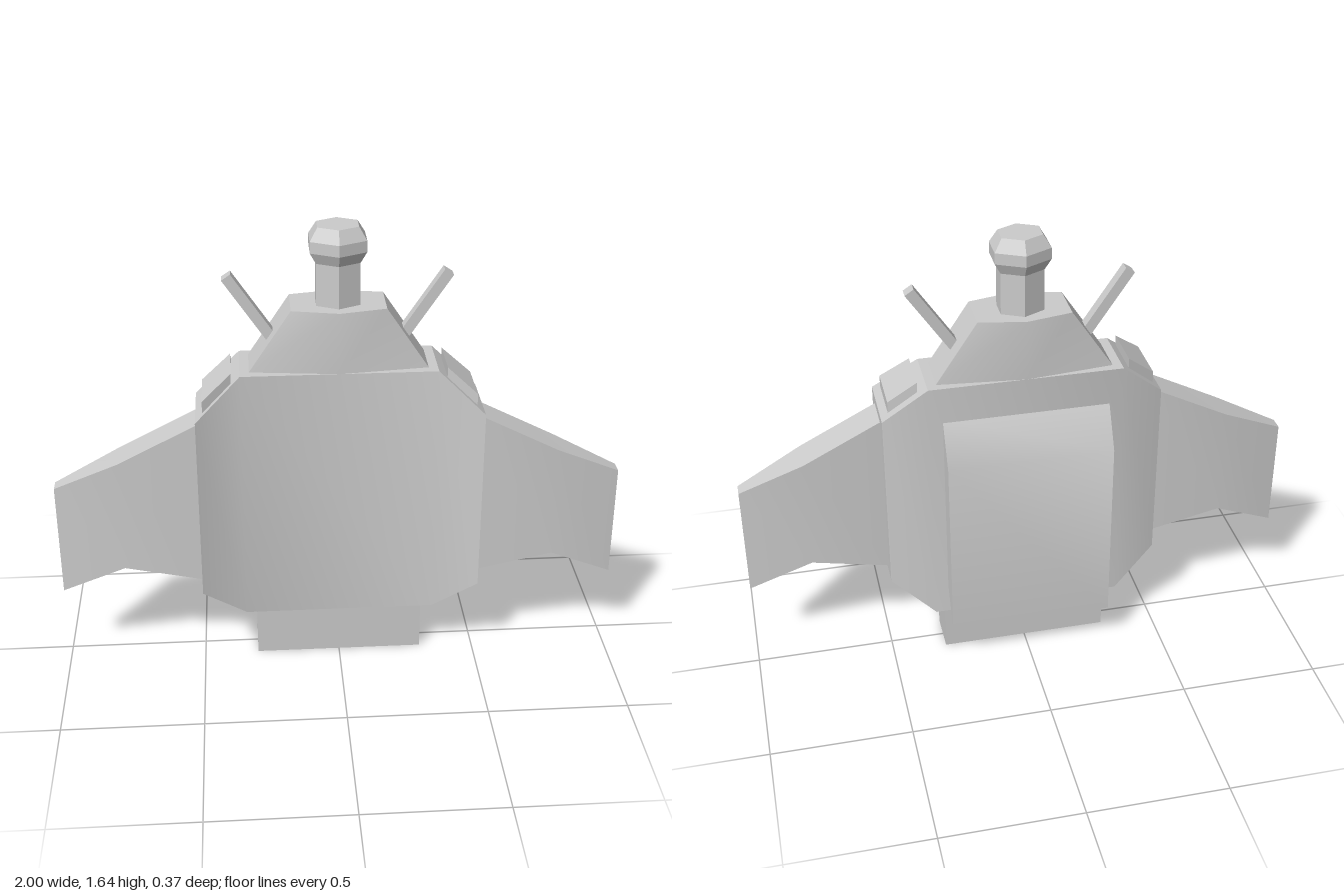
import * as THREE from 'three';
import { toCreasedNormals } from 'three/addons/utils/BufferGeometryUtils.js';

const grey = new THREE.MeshStandardMaterial({ color: 0xcccccc });
const flatGrey = new THREE.MeshStandardMaterial({ color: 0xcccccc, flatShading: true });

// Closed solid through a list of equal-length rings of [x, y, z] points
function loft(rings) {
  const n = rings[0].length, last = (rings.length - 1) * n, index = [];
  for (let i = 0; i < rings.length - 1; i++) {
    for (let j = 0; j < n; j++) {
      const a = i * n + j, b = i * n + (j + 1) % n;
      index.push(a, b, b + n, a, b + n, a + n);
    }
  }
  for (let j = 1; j < n - 1; j++) {
    index.push(0, j + 1, j);
    index.push(last, last + j, last + j + 1);
  }
  const geo = new THREE.BufferGeometry();
  geo.setAttribute('position', new THREE.Float32BufferAttribute(rings.flat(2), 3));
  geo.setIndex(index);
  return toCreasedNormals(geo, 0.56);
}

// Four-cornered ring in the plane x
const rect = (x, y0, y1, z0, z1) => [[x, y0, z1], [x, y0, z0], [x, y1, z0], [x, y1, z1]];

// Mirror rings to the other side, keeping them ordered along +x
const sided = (rings, s) => s > 0 ? rings
  : rings.map(r => r.map(([x, y, z]) => [-x, y, z])).reverse();

export function createModel() {
  const group = new THREE.Group();
  const add = (name, geo, mat = grey) => {
    const mesh = new THREE.Mesh(geo, mat);
    mesh.name = name;
    group.add(mesh);
    return mesh;
  };

  // Main hull: flat middle, flanks swept forward and chamfered
  const half = [rect(0.34, 0.2, 1.15, -0.108, 0.112), rect(0.495, 0.335, 1.015, -0.06, 0.186)];
  add('hull', loft([...sided(half, -1), ...half]));

  // Tapered upper block with a shallow ridge front and back
  const hex = (y, w) => [
    [w, y, 0.077], [w, y, -0.077], [0, y, -0.108],
    [-w, y, -0.077], [-w, y, 0.077], [0, y, 0.112],
  ];
  add('upperBlock', loft([hex(1.15, 0.308), hex(1.37, 0.162)]));

  // Hexagonal neck with its wider cap
  const profile = [[0.086, 1.36], [0.086, 1.52], [0.11, 1.56], [0.11, 1.6], [0.08, 1.645], [0, 1.645]];
  const neck = new THREE.LatheGeometry(profile.map(p => new THREE.Vector2(...p)), 6);
  neck.scale(1, 1, 0.85);
  add('neckAndCap', neck, flatGrey);

  // Slanted pack on the back
  const pack = x => [[x, 0.33, -0.1], [x, 0.17, -0.187], [x, 0.87, -0.187], [x, 1.03, -0.1]];
  add('backPack', loft([pack(-0.293), pack(0.293)]));

  // Hollow sleeve at the bottom
  const outline = (w, z0, z1, Type) => new Type([[-w, z0], [w, z0], [w, z1], [-w, z1]]
    .map(([x, z]) => new THREE.Vector2(x, -z)));
  const sleeve = outline(0.303, -0.067, 0.078, THREE.Shape);
  sleeve.holes.push(outline(0.275, -0.039, 0.05, THREE.Path));
  const sleeveGeo = new THREE.ExtrudeGeometry(sleeve, { depth: 0.205, bevelEnabled: false });
  sleeveGeo.rotateX(-Math.PI / 2);
  add('bottomSleeve', sleeveGeo);

  for (const s of [1, -1]) {
    const side = s > 0 ? 'left' : 'right';

    // Wing, thinning towards the tip
    add(side + 'Wing', loft(sided([
      rect(0.49, 0.36, 0.983, 0, 0.13),
      rect(0.77, 0.42, 0.84, 0, 0.13),
      rect(1, 0.31, 0.73, 0.04, 0.09),
    ], s)));

    // Raised pad on the shoulder chamfer
    add(side + 'ShoulderPad', loft(sided([
      rect(0.37, 1.11, 1.16, -0.065, 0.105),
      rect(0.47, 1.025, 1.078, -0.035, 0.15),
    ], s)));

    // Antenna leaning outwards
    const antenna = add(side + 'Antenna', new THREE.BoxGeometry(0.037, 0.262, 0.04));
    antenna.position.set(s * 0.303, 1.365, 0.003);
    antenna.rotation.z = -s * 0.59;
  }
  return group;
}
